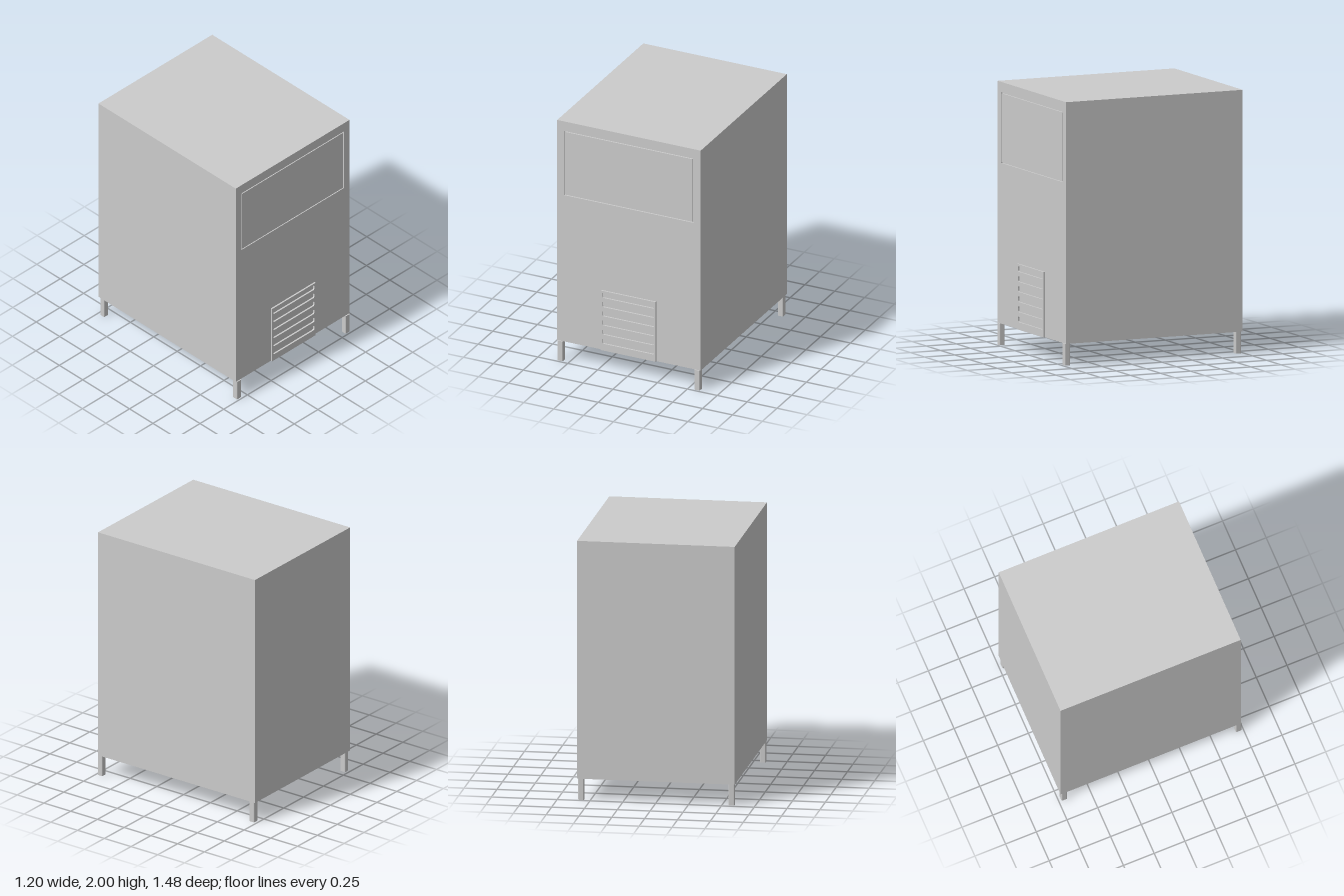
import * as THREE from 'three';

const material = new THREE.MeshStandardMaterial({ color: 0xcccccc });

// Rounded rectangle outline between two corners; r = 0 gives square corners.
function rect(Target, x0, y0, x1, y1, r = 0) {
  const p = new Target();
  if (r === 0) {
    p.moveTo(x0, y0).lineTo(x1, y0).lineTo(x1, y1).lineTo(x0, y1).closePath();
    return p;
  }
  p.absarc(x1 - r, y0 + r, r, -Math.PI / 2, 0);
  p.absarc(x1 - r, y1 - r, r, 0, Math.PI / 2);
  p.absarc(x0 + r, y1 - r, r, Math.PI / 2, Math.PI);
  p.absarc(x0 + r, y0 + r, r, Math.PI, Math.PI * 1.5);
  p.closePath();
  return p;
}

export function createModel() {
  const model = new THREE.Group();
  const add = (name, geometry, x = 0, y = 0, z = 0) => {
    const mesh = new THREE.Mesh(geometry, material);
    mesh.name = name;
    mesh.position.set(x, y, z);
    model.add(mesh);
    return mesh;
  };
  const plate = (shape, depth) =>
    new THREE.ExtrudeGeometry(shape, { depth, bevelEnabled: false, curveSegments: 4 });

  const bottom = 0.165, top = 2, halfWidth = 0.6;
  const back = -0.74, front = 0.727, skin = 0.012;

  // Cabinet
  const depth = front - skin - back;
  add('cabinet', new THREE.BoxGeometry(halfWidth * 2, top - bottom, depth),
    0, (top + bottom) / 2, back + depth / 2);

  // Front skin with an opening for the door
  const skinShape = rect(THREE.Shape, -halfWidth, bottom, halfWidth, top);
  skinShape.holes.push(rect(THREE.Path, -0.54, 1.385, 0.54, 1.922));
  add('frontPanel', plate(skinShape, skin), 0, 0, front - skin);

  // Flush door, surrounded by a narrow gap
  add('door', plate(rect(THREE.Shape, -0.532, 1.393, 0.532, 1.914), skin), 0, 0, front - skin);

  // Raised ventilation grille with six slots
  const grille = rect(THREE.Shape, -0.23, bottom, 0.23, 0.662);
  for (let i = 0; i < 6; i++) {
    const y = 0.243 + i * 0.0765;
    grille.holes.push(rect(THREE.Path, -0.216, y - 0.021, 0.216, y + 0.021, 0.01));
  }
  add('ventGrille', plate(grille, 0.013), 0, 0, front);

  // Square legs with softened vertical edges
  const legShape = rect(THREE.Shape, -0.0225, -0.0225, 0.0225, 0.0225, 0.007);
  const legGeometry = plate(legShape, bottom).rotateX(-Math.PI / 2);
  for (const [side, x] of [['Left', 0.573], ['Right', -0.573]]) {
    add('front' + side + 'Leg', legGeometry, x, 0, 0.713);
    add('back' + side + 'Leg', legGeometry, x, 0, -0.706);
  }

  return model;
}
